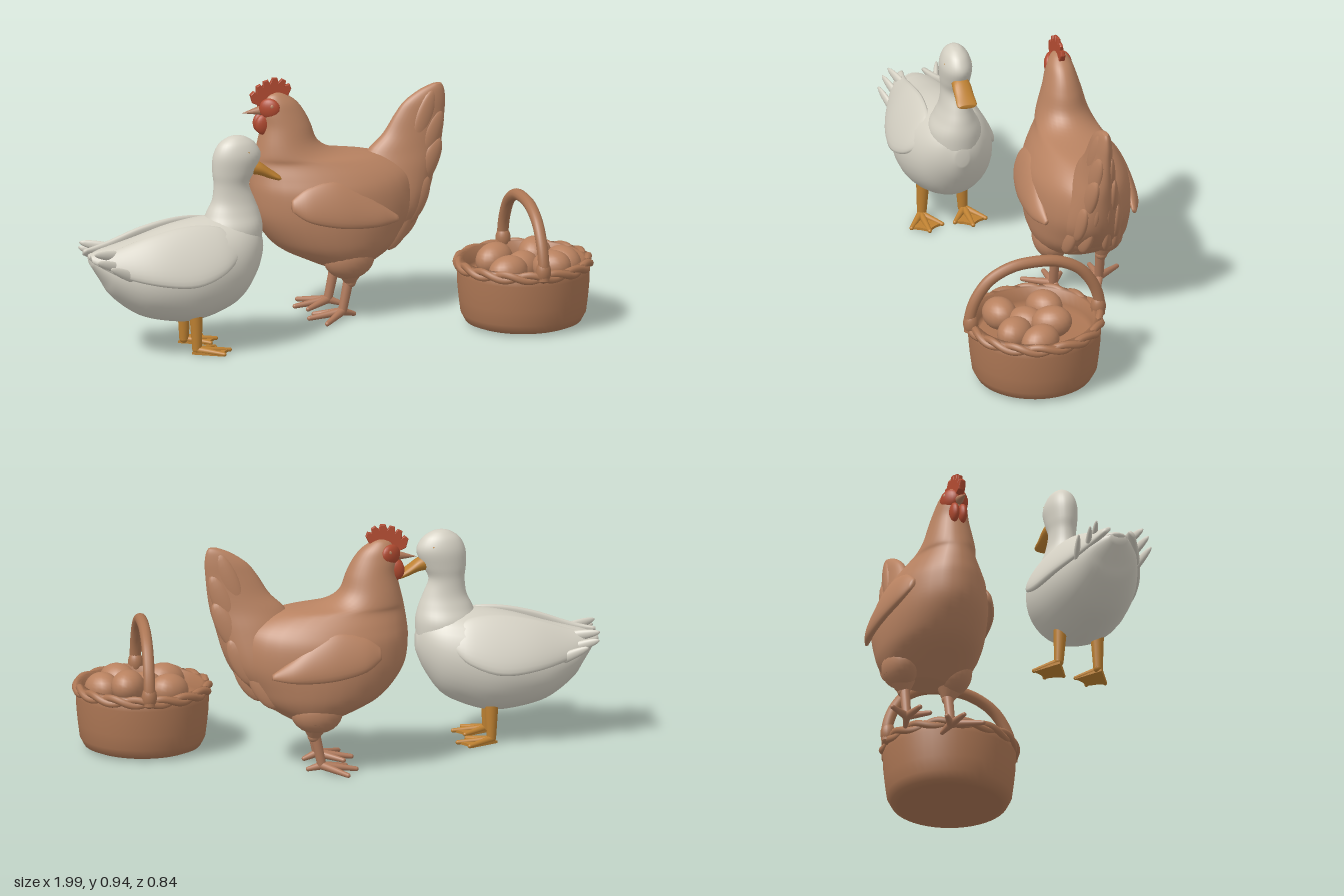
import * as THREE from 'three';

const paint = (name, color) => {
  const m = new THREE.MeshStandardMaterial({ color });
  m.name = name;
  return m;
};

// Smooth body from cross-sections along 'x' or 'y', t ascending.
// Each section: [t, low edge, high edge, half width in z, z centre]; lean tips the upper edge towards -z
function loft(sections, axis, seg = 32, lean = 0) {
  const sub = 5, rings = [];
  const s = sections.map(r => [r[0], (r[1] + r[2]) / 2, (r[2] - r[1]) / 2, r[3], r[4] || 0]);
  for (let i = 0; i < s.length - 1; i++) {
    const [a, b, c, d] = [s[Math.max(i - 1, 0)], s[i], s[i + 1], s[Math.min(i + 2, s.length - 1)]];
    for (let k = 0; k < sub; k++) {
      const u = k / sub;
      rings.push(b.map((v, n) => v + 0.5 * u * (c[n] - a[n] +
        u * (2 * a[n] - 5 * v + 4 * c[n] - d[n] + u * (3 * (v - c[n]) + d[n] - a[n])))));
    }
  }
  const last = s[s.length - 1], first = rings[0];
  rings.push(last, [last[0], last[1], 0, 0, last[4]]);
  rings.unshift([first[0], first[1], 0, 0, first[4]]);
  const pos = [], idx = [];
  rings.forEach(([t, mid, half, hw, zc], i) => {
    for (let j = 0; j < seg; j++) {
      const w = j / seg * Math.PI * 2;
      const a = Math.max(half, 0) * Math.cos(w);
      const z = Math.max(hw, 0) * Math.sin(w);
      if (axis === 'x') pos.push(t, mid + a, zc + z - lean * a);
      else pos.push(mid + a, t, zc - z);
      if (i < rings.length - 1) {
        const p = i * seg + j, q = i * seg + (j + 1) % seg;
        idx.push(p, q, p + seg, q, q + seg, p + seg);
      }
    }
  });
  const g = new THREE.BufferGeometry();
  g.setAttribute('position', new THREE.Float32BufferAttribute(pos, 3));
  g.setIndex(idx);
  g.computeVertexNormals();
  return g;
}

function add(parent, name, geometry, material) {
  const m = new THREE.Mesh(geometry, material);
  m.name = name;
  parent.add(m);
  return m;
}

// Stretched sphere, turned about z then y
function blob(parent, name, mat, p, size, rz = 0, ry = 0) {
  const m = add(parent, name, new THREE.SphereGeometry(1, 20, 14), mat);
  m.position.set(...p);
  m.scale.set(...size);
  m.rotation.set(0, ry, rz, 'YXZ');
  return m;
}

// Tapered cylinder between two points, with a rounded end
function limb(parent, name, mat, p, q, r0, r1) {
  const a = new THREE.Vector3(...p), b = new THREE.Vector3(...q);
  const m = add(parent, name, new THREE.CylinderGeometry(r1, r0, a.distanceTo(b), 16), mat);
  m.position.copy(a).lerp(b, 0.5);
  m.quaternion.setFromUnitVectors(new THREE.Vector3(0, 1, 0), b.clone().sub(a).normalize());
  blob(parent, name + 'End', mat, q, [r1, r1, r1]);
}

function makeDuck(white, orange) {
  const g = new THREE.Group();
  g.name = 'duck';
  add(g, 'duckBody', loft([[-0.985, 0.36, 0.4, 0.03], [-0.94, 0.29, 0.415, 0.085], [-0.9, 0.23, 0.425, 0.11],
    [-0.8, 0.155, 0.45, 0.15], [-0.68, 0.122, 0.485, 0.175], [-0.58, 0.117, 0.505, 0.18],
    [-0.48, 0.145, 0.515, 0.165], [-0.4, 0.19, 0.51, 0.135], [-0.34, 0.275, 0.48, 0.085],
    [-0.308, 0.35, 0.42, 0.025]], 'x'), white);
  add(g, 'duckNeckAndHead', loft([[0.36, -0.5, -0.315, 0.09], [0.46, -0.54, -0.307, 0.1],
    [0.52, -0.525, -0.318, 0.075], [0.57, -0.502, -0.337, 0.057], [0.63, -0.495, -0.358, 0.05],
    [0.68, -0.5, -0.335, 0.056], [0.74, -0.498, -0.312, 0.06], [0.785, -0.478, -0.333, 0.047],
    [0.81, -0.445, -0.367, 0.026], [0.818, -0.42, -0.395, 0.01]], 'y'), white);
  add(g, 'duckBill', loft([[-0.36, 0.665, 0.725, 0.03], [-0.32, 0.658, 0.712, 0.036], [-0.28, 0.642, 0.682, 0.037],
    [-0.25, 0.633, 0.66, 0.039], [-0.238, 0.635, 0.65, 0.032]], 'x', 24), orange);
  // webbed foot outline, toes forward
  const web = new THREE.Shape([[-0.03, 0], [0.06, 0.055], [0.075, 0.065], [0.09, 0.03], [0.115, 0],
    [0.09, -0.03], [0.075, -0.065], [0.06, -0.055]].map(p => new THREE.Vector2(...p)));
  for (const s of [1, -1]) {
    add(g, 'duckWing', loft([[-0.995, 0.385, 0.41, 0.012, s * 0.05], [-0.9, 0.335, 0.43, 0.025, s * 0.085],
      [-0.76, 0.3, 0.475, 0.032, s * 0.118], [-0.62, 0.29, 0.5, 0.032, s * 0.131],
      [-0.5, 0.33, 0.49, 0.026, s * 0.128], [-0.43, 0.39, 0.44, 0.01, s * 0.12]], 'x', 24, s * 0.55), white);
    [[-0.9, 0.405, 0.065, -0.2], [-0.9, 0.365, 0.09, -0.35], [-0.86, 0.335, 0.12, -0.45]].forEach(([x, y, z, a]) =>
      blob(g, 'duckWingFeather', white, [x, y, s * z], [0.105, 0.02, 0.012], a, s * 0.3));
    blob(g, 'duckEye', orange, [-0.375, 0.758, s * 0.048], [0.008, 0.009, 0.005]);
    limb(g, 'duckLeg', orange, [-0.59, 0.16, s * 0.075], [-0.588, 0.02, s * 0.08], 0.026, 0.018);
    const foot = add(g, 'duckFoot', new THREE.ExtrudeGeometry(web, { depth: 0.01, bevelEnabled: false }), orange);
    foot.rotation.x = -Math.PI / 2;
    foot.position.set(-0.58, 0.001, s * 0.085);
    for (const t of [0.06, 0, -0.06])
      limb(g, 'duckToe', orange, [-0.585, 0.017, s * 0.085], [t ? -0.5 : -0.46, 0.008, s * 0.085 + t], 0.014, 0.008);
  }
  blob(g, 'duckTail', white, [-0.93, 0.375, 0], [0.065, 0.022, 0.06], -0.3);
  g.position.z = 0.13;
  return g;
}

function makeHen(brown, red, shank) {
  const g = new THREE.Group();
  g.name = 'hen';
  add(g, 'henBodyAndHead', loft([[0.18, 0.06, 0.18, 0.08], [0.22, -0.03, 0.25, 0.15], [0.27, -0.13, 0.32, 0.182],
    [0.33, -0.19, 0.36, 0.195], [0.41, -0.235, 0.4, 0.198], [0.5, -0.245, 0.4, 0.188], [0.56, -0.24, 0.37, 0.16],
    [0.61, -0.232, 0.27, 0.125], [0.637, -0.227, 0.1, 0.108], [0.68, -0.217, 0.02, 0.092],
    [0.75, -0.202, -0.01, 0.073], [0.8, -0.205, -0.035, 0.059], [0.84, -0.198, -0.066, 0.046],
    [0.868, -0.18, -0.105, 0.028], [0.879, -0.155, -0.13, 0.012]], 'y'), brown);
  add(g, 'henTail', loft([[0.26, 0.18, 0.3, 0.08], [0.31, 0.18, 0.36, 0.1], [0.38, 0.18, 0.42, 0.115],
    [0.45, 0.18, 0.455, 0.11], [0.55, 0.19, 0.485, 0.085], [0.62, 0.22, 0.505, 0.062], [0.68, 0.28, 0.515, 0.048],
    [0.75, 0.325, 0.522, 0.037], [0.8, 0.365, 0.525, 0.03], [0.84, 0.425, 0.52, 0.02],
    [0.86, 0.475, 0.51, 0.01]], 'y'), brown);
  for (const s of [1, -1]) {
    add(g, 'henWing', loft([[-0.13, 0.45, 0.49, 0.01, s * 0.155], [-0.07, 0.41, 0.535, 0.022, s * 0.17],
      [0.03, 0.385, 0.56, 0.028, s * 0.178], [0.12, 0.375, 0.53, 0.028, s * 0.182], [0.21, 0.375, 0.46, 0.021, s * 0.185],
      [0.285, 0.385, 0.405, 0.008, s * 0.172]], 'x', 24, s * 0.32), brown);
    // tail fan and fluffy rear feathers: x, y, z, length, tilt
    [[0.43, 0.72, 0.024, 0.13, 1.2], [0.45, 0.64, 0.03, 0.13, 1.15], [0.435, 0.55, 0.045, 0.12, 1.05],
      [0.42, 0.48, 0.028, 0.1, 1.2], [0.39, 0.43, 0.07, 0.1, 1.1], [0.36, 0.35, 0.04, 0.09, 1.0],
      [0.31, 0.33, 0.09, 0.09, 1.0], [0.27, 0.29, 0.06, 0.07, 0.8]].forEach(([x, y, z, l, a]) =>
      blob(g, 'henTailFeather', brown, [x, y, s * z], [l, 0.042, 0.02], a, s * 0.2));
    blob(g, 'henThighFluff', brown, [0.11, 0.24, s * 0.105], [0.1, 0.085, 0.07]);
    limb(g, 'henThigh', brown, [0.115, 0.21, s * 0.1], [0.12, 0.14, s * 0.09], 0.068, 0.024);
    limb(g, 'henLeg', shank, [0.12, 0.17, s * 0.088], [0.09, 0.025, s * 0.09], 0.02, 0.017);
    // three front toes and one back toe
    [[-0.04, 0.09], [0, 0.185], [-0.005, 0.035], [0.14, 0.075]].forEach(([x, z]) =>
      limb(g, 'henToe', shank, [0.09, 0.025, s * 0.09], [x, 0.008, s * z], 0.016, 0.009));
    blob(g, 'henFace', red, [-0.178, 0.822, s * 0.026], [0.042, 0.04, 0.02], 0, -s * 0.55);
    blob(g, 'henWattle', red, [-0.198, 0.76, s * 0.016], [0.033, 0.04, 0.018]);
    blob(g, 'henEye', brown, [-0.172, 0.834, s * 0.045], [0.009, 0.009, 0.005]);
  }
  const beak = add(g, 'henBeak', new THREE.ConeGeometry(0.022, 0.09, 16), shank);
  beak.position.set(-0.234, 0.81, 0);
  beak.rotation.z = Math.PI / 2 + 0.08;
  // comb: fan of rounded points, thinner towards the top
  const comb = new THREE.Shape();
  comb.moveTo(-0.235, 0.845);
  [[-0.244, 0.875], [-0.232, 0.885], [-0.22, 0.876], [-0.221, 0.905], [-0.208, 0.911], [-0.196, 0.898],
    [-0.193, 0.922], [-0.178, 0.926], [-0.168, 0.91], [-0.158, 0.932], [-0.142, 0.932], [-0.136, 0.912],
    [-0.12, 0.926], [-0.108, 0.918], [-0.112, 0.9], [-0.093, 0.904], [-0.088, 0.89], [-0.1, 0.865],
    [-0.15, 0.85], [-0.2, 0.83]].forEach(p => comb.lineTo(...p));
  const combGeo = new THREE.ExtrudeGeometry(comb,
    { depth: 0.008, bevelThickness: 0.006, bevelSize: 0.003, bevelSegments: 2 }).translate(0, 0, -0.004);
  const cp = combGeo.attributes.position;
  for (let i = 0; i < cp.count; i++) cp.setZ(i, cp.getZ(i) * (1.25 - (cp.getY(i) - 0.86) * 10));
  combGeo.computeVertexNormals();
  add(g, 'henComb', combGeo, red);
  g.position.z = -0.2;
  return g;
}

function makeBasket(wicker, eggShell) {
  const g = new THREE.Group();
  g.name = 'eggBasket';
  const profile = [[0, 0.003], [0.195, 0.003], [0.22, 0.013], [0.237, 0.045], [0.244, 0.1], [0.249, 0.15],
    [0.251, 0.2], [0.252, 0.25], [0.226, 0.25], [0.22, 0.2], [0.21, 0.18], [0, 0.18]].map(p => new THREE.Vector2(...p));
  add(g, 'basketBowl', new THREE.LatheGeometry(profile, 48), wicker);
  // two strands twisted loosely around the rim
  for (const phase of [0, Math.PI]) {
    const pts = Array.from({ length: 96 }, (_, i) => {
      const a = i / 96 * Math.PI * 2, w = a * 8 + phase, r = 0.246 + 0.006 * Math.cos(w);
      return new THREE.Vector3(r * Math.cos(a), 0.234 + 0.011 * Math.sin(w), r * Math.sin(a));
    });
    add(g, 'basketRimStrand', new THREE.TubeGeometry(new THREE.CatmullRomCurve3(pts, true), 240, 0.0145, 8, true), wicker);
  }
  const arch = [[0.255, 0.225], [0.252, 0.29], [0.228, 0.36], [0.175, 0.43], [0.09, 0.473]];
  const path = [...arch, [0, 0.483], ...arch.map(([z, y]) => [-z, y]).reverse()]
    .map(([z, y]) => new THREE.Vector3(0, y, z));
  add(g, 'basketHandle', new THREE.TubeGeometry(new THREE.CatmullRomCurve3(path), 60, 0.022, 12), wicker);
  for (const s of [1, -1])
    blob(g, 'handleBinding', wicker, [0, 0.258, s * 0.25], [0.029, 0.045, 0.029]);
  // eggs: x, y, z, turn
  [[-0.095, 0.235, -0.065, 0.5], [0.06, 0.25, -0.05, 1.2], [0.15, 0.225, 0.02, 2], [0.08, 0.235, 0.1, -0.8],
    [-0.095, 0.23, 0.11, 0.2], [-0.015, 0.22, 0.03, 0.8]].forEach(([x, y, z, a]) =>
    blob(g, 'egg', eggShell, [x, y, z], [0.078, 0.062, 0.063], 0.15, a));
  g.position.set(0.724, 0, 0.145);
  return g;
}

export function createModel() {
  const model = new THREE.Group();
  model.name = 'farmyardBirds';
  model.add(
    makeDuck(paint('duckWhite', 0xd4d0c3), paint('billOrange', 0xbd8031)),
    makeHen(paint('henBrown', 0xb88261), paint('combRed', 0xb04a30), paint('shankTan', 0xb07a5c)),
    makeBasket(paint('wickerBrown', 0xac7654), paint('eggShell', 0xb8815f)));
  return model;
}
